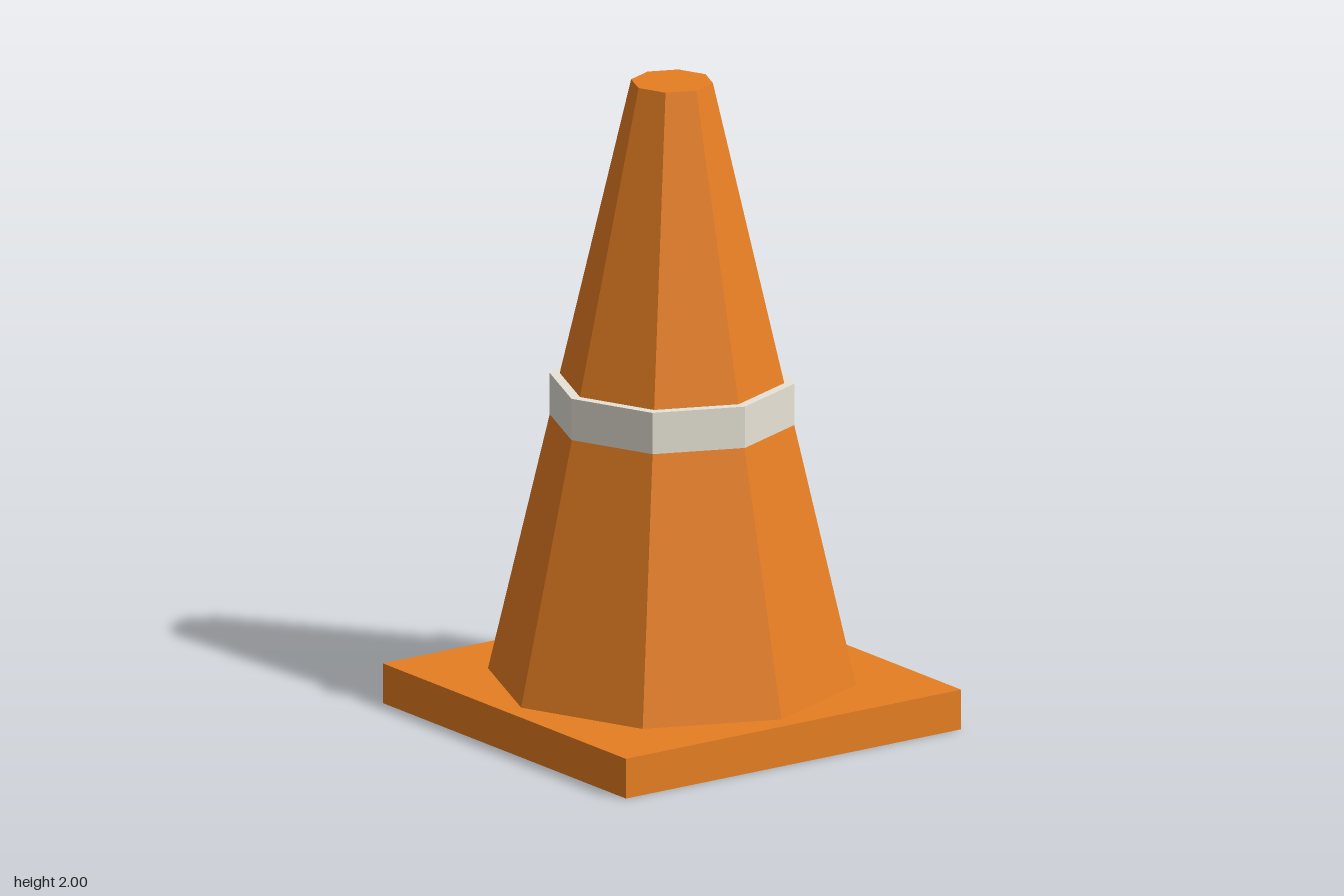
import * as THREE from 'three';

export function createModel() {
  const orange = new THREE.MeshStandardMaterial({ color: 0xe67e22, flatShading: true });
  orange.name = 'orange plastic';
  const white = new THREE.MeshStandardMaterial({ color: 0xe8e4d8, flatShading: true });
  white.name = 'pale band';

  const group = new THREE.Group();
  group.name = 'trafficCone';
  const add = (name, geometry, material, y) => {
    const mesh = new THREE.Mesh(geometry, material);
    mesh.name = name;
    mesh.position.y = y;
    group.add(mesh);
  };

  // Square foot plate
  add('base', new THREE.BoxGeometry(1.25, 0.125, 1.25), orange, 0.0625);
  // Eight-sided tapering body with a flat top
  add('coneBody', new THREE.CylinderGeometry(0.125, 0.5625, 1.875, 8), orange, 1.0625);
  // Straight-sided reflective band around the middle
  add('reflectiveBand', new THREE.CylinderGeometry(0.375, 0.375, 0.13, 8), white, 1);

  return group;
}
